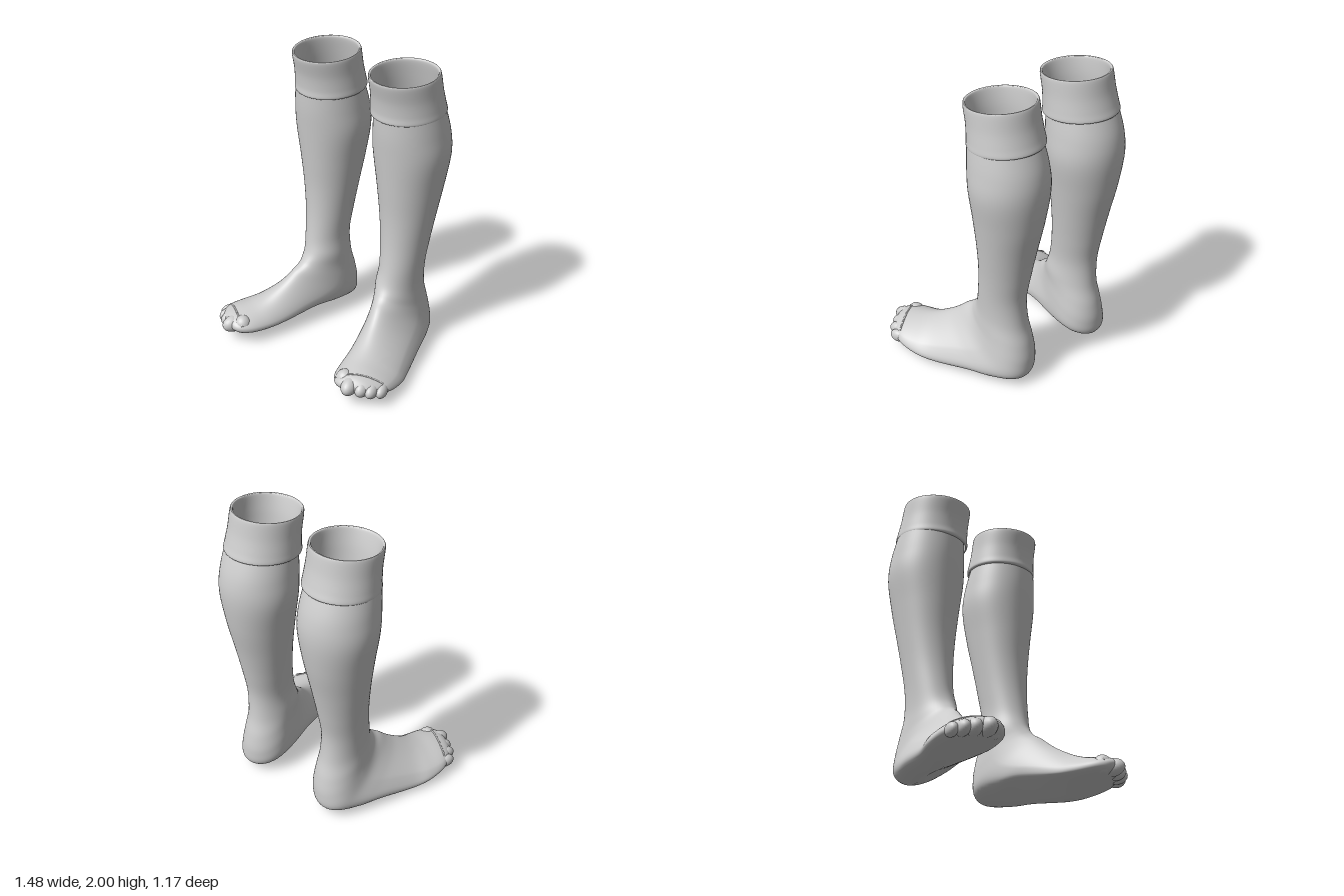
import * as THREE from 'three';

const fabric = new THREE.MeshStandardMaterial({ color: 0xcccccc, side: THREE.DoubleSide });
fabric.name = 'grey fabric';

// Level leg ring: height, front z, back z, half width
const legRing = ([y, zF, zB, width]) => ({
  xA: 0.335, yA: y, zA: zF, xB: 0.335, yB: y, zB,
  width, turn: 0, heavy: 0, arch: 0, flat: 1,
});

// Foot ring tilting from ankle to toes: upper y and z, lower y and z, half width.
// The foot turns outward, and its sole flattens and arches mid-way.
function footRing([yA, zA, yB, zB, width], i, all) {
  const v = i / (all.length - 1), bulge = Math.sin(Math.PI * v);
  return {
    xA: Math.min(0.355 + 0.41 * zA, 0.545), yA, zA,
    xB: Math.min(0.465 + 0.3 * zB, 0.56), yB, zB, width,
    turn: 0.32 * Math.min(1, 2.2 * v),
    heavy: 0.36 * bulge, arch: 0.05 * bulge ** 6, flat: 1 - 0.25 * bulge,
  };
}

// Cuff ring, higher at the back than the front
const cuffRing = ([y, zF, zB, width]) => ({
  ...legRing([y, zF, zB, width]), xA: 0.32, xB: 0.32 + 0.03 * (2 - y), yB: y + 0.032,
});

const LEG = [
  [1.76, -0.07, -0.52, 0.226],
  [1.6, -0.073, -0.575, 0.247],
  [1.44, -0.085, -0.59, 0.255],
  [1.22, -0.103, -0.563, 0.221],
  [1.0, -0.118, -0.515, 0.187],
  [0.8, -0.115, -0.475, 0.159],
  [0.62, -0.095, -0.446, 0.141],
].map(legRing);

const FOOT = [
  [0.52, -0.07, 0.44, -0.455, 0.143],
  [0.46, -0.035, 0.3, -0.49, 0.148],
  [0.43, -0.005, 0.17, -0.508, 0.156],
  [0.4, 0.04, 0.06, -0.485, 0.165],
  [0.355, 0.09, 0.028, -0.34, 0.173],
  [0.31, 0.15, 0.025, -0.16, 0.177],
  [0.255, 0.245, 0.005, 0.08, 0.187],
  [0.223, 0.33, 0.02, 0.23, 0.196],
  [0.205, 0.425, 0.05, 0.38, 0.184],
  [0.19, 0.49, 0.075, 0.475, 0.14],
  [0.165, 0.53, 0.1, 0.52, 0.085],
  [0.135, 0.545, 0.133, 0.545, 0.002],
].map(footRing);

// Inside wall, rounded rim, outside wall, folded lower edge
const CUFF = [
  [1.73, -0.095, -0.505, 0.21],
  [1.85, -0.075, -0.48, 0.205],
  [1.95, -0.047, -0.462, 0.208],
  [1.968, -0.035, -0.472, 0.217],
  [1.955, -0.025, -0.483, 0.226],
  [1.85, -0.049, -0.503, 0.23],
  [1.76, -0.058, -0.528, 0.238],
  [1.712, -0.056, -0.543, 0.242],
  [1.702, -0.07, -0.53, 0.228],
].map(cuffRing);

// Smoothly interpolated ring at position u along a list of rings
function ringAt(rings, u) {
  const last = rings.length - 1;
  const i = Math.min(Math.floor(u), last - 1), f = u - i;
  const near = [i - 1, i, i + 1, i + 2].map((k) => rings[THREE.MathUtils.clamp(k, 0, last)]);
  const result = {};
  for (const key of Object.keys(rings[0])) {
    const [a, b, c, d] = near.map((ring) => ring[key]);
    result[key] = b + 0.5 * f * (c - a + f * (2 * a - 5 * b + 4 * c - d + f * (3 * (b - c) + d - a)));
  }
  return result;
}

// Point at angle t around a ring; side -1 mirrors it
function ringPoint(r, t, side) {
  const c = Math.cos(t), s = Math.sin(side * t);
  const h = (c < 0 ? -Math.pow(-c, r.flat) : c) / 2;
  const w = s * (1 - r.heavy * c) * r.width;
  const lift = r.arch * Math.max(0, -s) * Math.max(0, -c) * 2;
  return new THREE.Vector3(
    side * ((r.xA + r.xB) / 2 + h * (r.xA - r.xB) + w * Math.cos(r.turn)),
    (r.yA + r.yB) / 2 + h * (r.yA - r.yB) + lift,
    (r.zA + r.zB) / 2 + h * (r.zA - r.zB) - w * Math.sin(r.turn));
}

// Skin a list of rings
function loft(rings, side) {
  const steps = 6, around = 56, pos = [], index = [];
  const count = (rings.length - 1) * steps;
  for (let i = 0; i <= count; i++) {
    const r = ringAt(rings, i / steps);
    for (let j = 0; j < around; j++) {
      pos.push(...ringPoint(r, (j / around) * Math.PI * 2, side).toArray());
      if (i === count) continue;
      const a = i * around + j, b = i * around + (j + 1) % around;
      index.push(a, a + around, b, b, a + around, b + around);
    }
  }
  const g = new THREE.BufferGeometry();
  g.setAttribute('position', new THREE.Float32BufferAttribute(pos, 3));
  g.setIndex(index);
  g.computeVertexNormals();
  return g;
}

function makeSock(side) {
  const sock = new THREE.Group();
  sock.name = side > 0 ? 'leftSock' : 'rightSock';
  const add = (name, geometry) => {
    const mesh = new THREE.Mesh(geometry, fabric);
    mesh.name = name;
    sock.add(mesh);
    return mesh;
  };
  add('legAndFoot', loft([...LEG, ...FOOT], side));
  add('cuff', loft(CUFF, side));

  // Toe seam laid across the top of the foot
  const seam = [];
  for (let i = 0; i <= 12; i++) {
    const t = -1.3 + (2.6 * i) / 12;
    seam.push(ringPoint(ringAt(FOOT, 8.5 - 0.4 * Math.sin(t)), side * t, side));
  }
  add('toeSeam', new THREE.TubeGeometry(new THREE.CatmullRomCurve3(seam), 48, 0.006, 8));

  // Toe bumps, shrinking from the big toe outward: x, z, half length
  const toes = [[0.465, 0.475, 0.06], [0.53, 0.5, 0.085], [0.6, 0.46, 0.075], [0.655, 0.43, 0.07], [0.7, 0.385, 0.06]];
  toes.forEach(([x, z, length], i) => {
    const toe = add('toe', new THREE.SphereGeometry(1, 24, 16));
    toe.scale.set(0.06 - 0.006 * i, 0.064 - 0.005 * i, length);
    toe.rotation.y = side * 0.28;
    toe.position.set(side * x, 0.137 - 0.009 * i, z);
  });
  return sock;
}

export function createModel() {
  const model = new THREE.Group();
  model.name = 'pairOfSocks';
  model.add(makeSock(1), makeSock(-1));
  return model;
}
